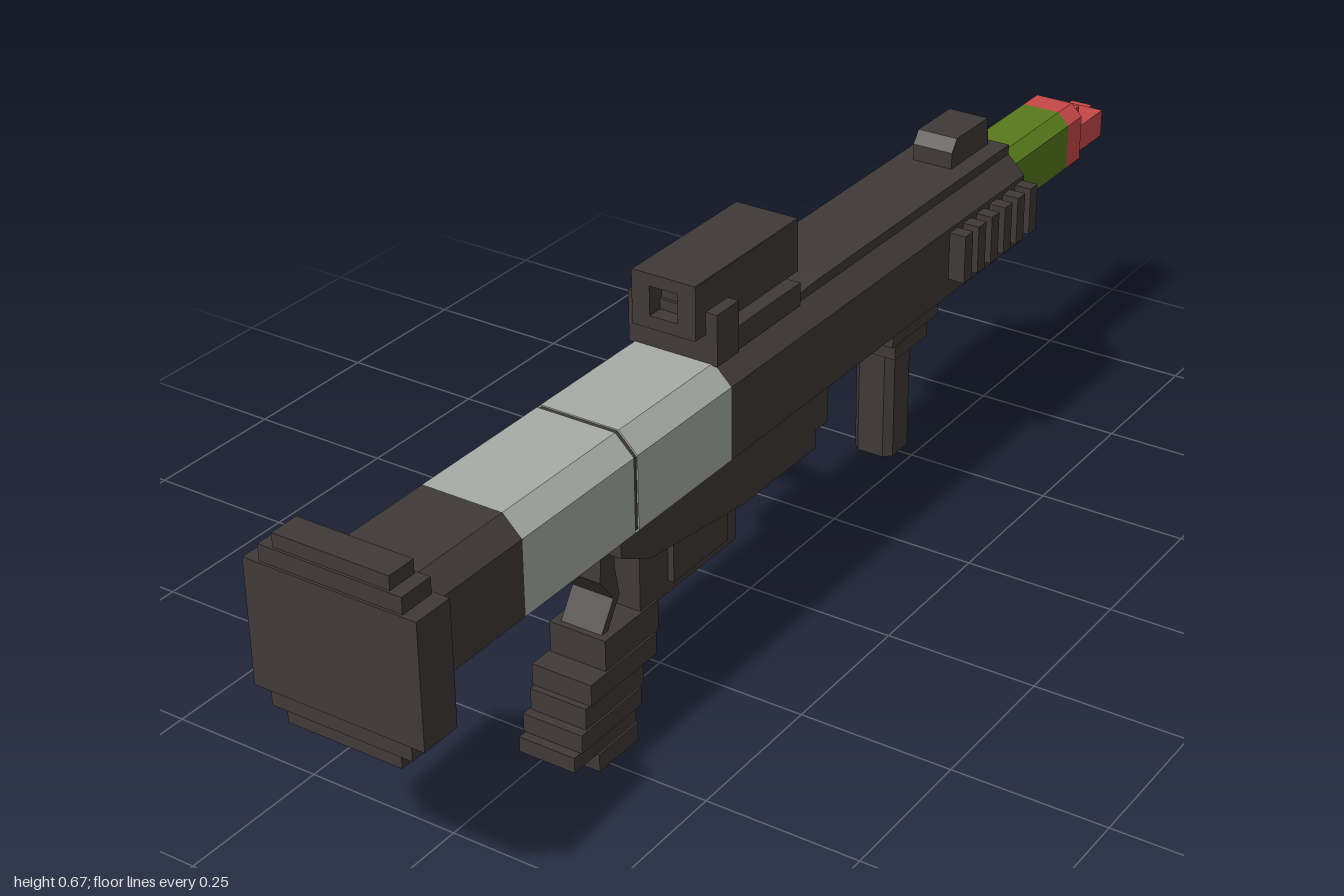
import * as THREE from 'three';

const mat = (name, color) => {
  const m = new THREE.MeshStandardMaterial({ color });
  m.name = name;
  return m;
};

export function createModel() {
  const model = new THREE.Group();
  const dark = mat('dark metal', 0x403939);
  const grey = mat('light grey', 0xa8ada8);
  const green = mat('green', 0x587a1c);
  const red = mat('red', 0xc84848);
  const tan = mat('tan', 0xc4ae6c);
  const CX = 0.035;

  const add = (name, geometry, material) => {
    const mesh = new THREE.Mesh(geometry, material);
    mesh.name = name;
    model.add(mesh);
    return mesh;
  };
  // Box from its limits on each axis
  const box = (name, material, x0, x1, y0, y1, z0, z1) =>
    add(name, new THREE.BoxGeometry(x1 - x0, y1 - y0, z1 - z0), material)
      .position.set((x0 + x1) / 2, (y0 + y1) / 2, (z0 + z1) / 2);
  // Rectangle with cut corners
  const cutRect = (x0, x1, y0, y1, c) => [
    [x0 + c, y0], [x1 - c, y0], [x1, y0 + c], [x1, y1 - c],
    [x1 - c, y1], [x0 + c, y1], [x0, y1 - c], [x0, y0 + c],
  ].map(p => new THREE.Vector2(...p));
  // Outline extruded along z, optionally hollow
  const prism = (name, material, pts, z0, z1, hole) => {
    const shape = new THREE.Shape(pts);
    if (hole) shape.holes.push(new THREE.Path(hole));
    const g = new THREE.ExtrudeGeometry(shape, { depth: z1 - z0, bevelEnabled: false });
    return add(name, g.translate(0, 0, z0), material);
  };
  // Side profile in (z, y) extruded across x
  const sideProfile = (name, material, pts, x0, x1) => {
    const shape = new THREE.Shape(pts.map(([z, y]) => new THREE.Vector2(-z, y)));
    const g = new THREE.ExtrudeGeometry(shape, { depth: x1 - x0, bevelEnabled: false });
    return add(name, g.rotateY(Math.PI / 2).translate(x0, 0, 0), material);
  };

  // Launch tube in coloured sections
  const tube = cutRect(-0.06, 0.13, 0.36, 0.537, 0.03);
  prism('rearTube', dark, tube, 0.735, 0.94);
  prism('rearGreyBand', grey, tube, 0.487, 0.735);
  prism('tubeSeam', dark, cutRect(-0.058, 0.128, 0.362, 0.535, 0.03), 0.479, 0.487);
  prism('frontGreyBand', grey, tube, 0.25, 0.479);
  prism('frontTube', dark, tube, -0.55, 0.25);
  prism('muzzle', dark, tube, -0.61, -0.55, cutRect(-0.03, 0.1, 0.39, 0.51, 0.025));
  sideProfile('topCover', dark,
    [[0.25, 0.53], [0.25, 0.54], [-0.03, 0.553], [-0.61, 0.553], [-0.61, 0.53]], -0.03, 0.1);

  // Stepped rear flange
  [[0.1375, 0.095, 0.935], [0.1135, 0.12, 0.94], [0.0925, 0.141, 0.945]].forEach(([w, h, z], i) =>
    box('rearFlange' + (i + 1), dark, CX - w, CX + w, 0.445 - h, 0.445 + h, z, 1 - i * 0.004));

  // Front sight block
  sideProfile('frontSight', dark,
    [[-0.475, 0.54], [-0.475, 0.58], [-0.49, 0.6], [-0.59, 0.6], [-0.595, 0.54]], 0, 0.07);

  // Optic with a recessed window at each end
  const opticHole = cutRect(0.014, 0.061, 0.6, 0.646, 0.001);
  const optic = cutRect(-0.016, 0.091, 0.58, 0.665, 0.001);
  prism('opticRearShell', dark, optic, 0.25, 0.28, opticHole);
  prism('opticBody', dark, optic, 0.015, 0.25);
  box('opticBase', dark, 0.0, 0.075, 0.53, 0.585, 0.02, 0.255);
  box('opticBracket', dark, -0.04, 0.11, 0.535, 0.616, 0.2, 0.255);
  box('opticClamp', dark, -0.035, 0.105, 0.535, 0.572, 0.03, 0.2);

  // Cooling ribs on both sides of the muzzle
  for (let i = 0; i < 6; i++) {
    const z = -0.38 - i * 0.0425;
    box('ribRight' + (i + 1), dark, -0.09, -0.055, 0.42, 0.5, z - 0.012, z + 0.012);
    box('ribLeft' + (i + 1), dark, 0.125, 0.158, 0.42, 0.5, z - 0.012, z + 0.012);
  }

  // Front grip
  box('frontGripMount', dark, -0.025, 0.095, 0.335, 0.365, -0.4, -0.26);
  box('frontGripCollar', dark, -0.015, 0.085, 0.3, 0.34, -0.385, -0.285);
  prism('frontGrip', dark, cutRect(0, 0.07, -0.37, -0.3, 0.012), 0, 0.22)
    .geometry.rotateX(Math.PI / 2).translate(0, 0.33, 0);

  // Lower receiver
  sideProfile('receiverRail', dark,
    [[0.48, 0.365], [0.48, 0.335], [0.41, 0.3], [0.17, 0.27], [-0.025, 0.27],
      [-0.025, 0.3], [-0.06, 0.3], [-0.06, 0.365]], -0.03, 0.1);
  box('triggerHousing', dark, -0.01, 0.08, 0.2, 0.31, 0.165, 0.41);
  box('housingPanel', dark, -0.02, 0.09, 0.22, 0.29, 0.2, 0.34);
  box('trigger', dark, 0.025, 0.045, 0.175, 0.21, 0.18, 0.19);
  sideProfile('backStrap', dark,
    [[0.485, 0.36], [0.49, 0.29], [0.46, 0.25], [0.5, 0.19], [0.485, 0.19],
      [0.445, 0.25], [0.455, 0.3], [0.455, 0.36]], 0, 0.07);

  // Pistol grip as stacked, staggered slabs: z limits, y limits
  [[0.37, 0.5, 0.155, 0.205], [0.38, 0.54, 0.12, 0.155], [0.41, 0.55, 0.085, 0.12],
    [0.42, 0.565, 0.055, 0.085], [0.43, 0.58, 0.03, 0.055], [0.43, 0.525, 0, 0.03],
  ].forEach(([z0, z1, y0, y1], i) => {
    const w = i % 2 ? 0.051 : 0.048;
    box('gripSlab' + (i + 1), dark, CX - w, CX + w, y0, y1, z0, z1);
  });

  // Side catch and cocking handle
  box('sideCatch', grey, -0.09, -0.055, 0.41, 0.46, 0.06, 0.17);
  box('handleStem', green, -0.13, -0.055, 0.437, 0.463, 0.02, 0.05);
  box('handleKnob', green, -0.174, -0.12, 0.433, 0.466, 0.008, 0.045);

  // Rocket
  box('muzzleLining', tan, -0.028, 0.098, 0.392, 0.508, -0.565, -0.55);
  box('rocketNeck', tan, -0.004, 0.079, 0.42, 0.5, -0.64, -0.55);
  prism('rocketBody', green, cutRect(-0.016, 0.09, 0.403, 0.52, 0.02), -0.842, -0.63);
  prism('rocketHead', red, cutRect(-0.016, 0.09, 0.403, 0.52, 0.02), -0.89, -0.842);
  box('rocketNoseTall', red, 0.012, 0.062, 0.42, 0.497, -0.935, -0.885);
  box('rocketNoseWide', red, -0.014, 0.088, 0.435, 0.482, -0.972, -0.885);
  box('rocketTip', red, 0.016, 0.054, 0.443, 0.474, -1, -0.965);

  return model;
}
